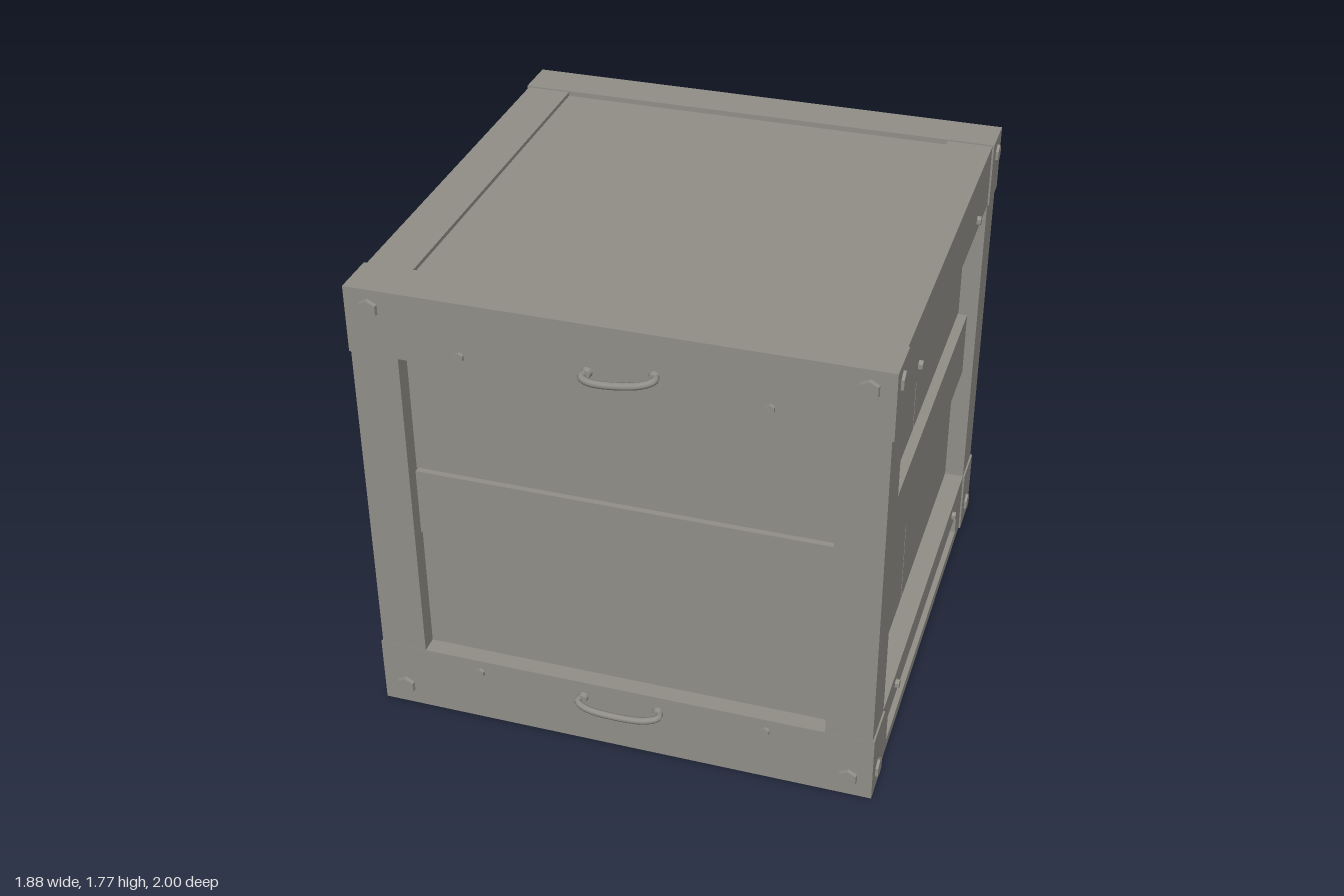
import * as THREE from 'three';

const grey = new THREE.MeshStandardMaterial({ color: 0x918f88 });
grey.name = 'worn grey';

function add(parent, name, geometry, x = 0, y = 0, z = 0) {
  const mesh = new THREE.Mesh(geometry, grey);
  mesh.name = name;
  mesh.position.set(x, y, z);
  parent.add(mesh);
  return mesh;
}

// Box given by its minimum and maximum corners
function slab(parent, name, [x0, y0, z0], [x1, y1, z1]) {
  return add(parent, name, new THREE.BoxGeometry(x1 - x0, y1 - y0, z1 - z0),
    (x0 + x1) / 2, (y0 + y1) / 2, (z0 + z1) / 2);
}

// Hexagonal bolt head facing +z
function bolt(parent, name, x, y, z, r, h) {
  const geo = new THREE.CylinderGeometry(r * 0.88, r, h + 0.01, 6).toNonIndexed();
  geo.computeVertexNormals();
  geo.rotateX(Math.PI / 2);
  add(parent, name, geo, x, y, z + h / 2 - 0.005);
}

// Bent bar handle with a collar at each end
function handle(parent, x0, y0, x1, y1, z) {
  const at = (t, dz, dy = 0) => new THREE.Vector3(
    x0 + (x1 - x0) * t, y0 + (y1 - y0) * t + dy, z + dz);
  const path = new THREE.CatmullRomCurve3([
    at(0.06, -0.01), at(0.02, 0.03), at(0.15, 0.055, -0.004), at(0.5, 0.063, -0.008),
    at(0.85, 0.055, -0.004), at(0.98, 0.03), at(0.94, -0.01)]);
  add(parent, 'handle', new THREE.TubeGeometry(path, 28, 0.013, 8));
  for (const t of [0.06, 0.94]) {
    const collar = new THREE.CylinderGeometry(0.016, 0.021, 0.024, 10);
    collar.rotateX(Math.PI / 2);
    const p = at(t, 0.006);
    add(parent, 'handleCollar', collar, p.x, p.y, p.z);
  }
}

// Recessed boards; surface is the depth of the wall face along +z
function boards(parent, surface, depth, raise, split) {
  const rows = [[0.255, 0.761], [0.769, 1.031], [1.039, 1.53]];
  rows.forEach(([y0, y1], i) => {
    const z = surface - depth + (i === 1 ? raise : 0);
    const spans = split !== null && i !== 1
      ? [[-0.77, split - 0.004], [split + 0.004, 0.77]] : [[-0.77, 0.77]];
    for (const [x0, x1] of spans) slab(parent, 'board', [x0, y0, 0.8], [x1, y1, z]);
  });
}

function bolts(parent, surface) {
  for (const sx of [-1, 1]) {
    bolt(parent, 'cornerBolt', sx * 0.845, 1.7, surface, 0.039, 0.014);
    bolt(parent, 'cornerBolt', sx * 0.845, 0.08, surface, 0.039, 0.014);
    bolt(parent, 'smallBolt', sx * 0.53, 1.57, surface, 0.019, 0.012);
    bolt(parent, 'smallBolt', sx * 0.54, 0.215, surface, 0.019, 0.012);
  }
}

export function createModel() {
  const crate = new THREE.Group();
  crate.name = 'crate';

  // Closed core: its top is the sunken lid, its underside the raised floor
  slab(crate, 'core', [-0.83, 0.155, -0.83], [0.83, 1.75, 0.83]);

  // Corner posts
  for (const sx of [-1, 1]) for (const sz of [-1, 1]) {
    add(crate, 'cornerPost', new THREE.BoxGeometry(0.17, 1.765, 0.17), sx * 0.84, 0.8825, sz * 0.84);
  }

  // Front and back walls
  for (const turn of [0, Math.PI]) {
    const wall = new THREE.Group();
    wall.name = turn ? 'backWall' : 'frontWall';
    wall.rotation.y = turn;
    slab(wall, 'topRail', [-0.932, 1.52, 0.757], [0.932, 1.77, 0.926]);
    slab(wall, 'bottomRail', [-0.932, 0, 0.757], [0.932, 0.265, 0.926]);
    boards(wall, 0.926, 0.065, 0.012, null);
    bolts(wall, 0.926);
    if (turn) handle(wall, -0.16, 1.6, 0.16, 1.6, 0.926);
    else handle(wall, -0.1, 1.59, 0.16, 1.62, 0.926);
    handle(wall, -0.16, 0.2, 0.16, 0.2, 0.926);
    crate.add(wall);
  }

  // Side walls, each with a long slot through the bottom rail
  for (const s of [1, -1]) {
    const wall = new THREE.Group();
    wall.name = s > 0 ? 'leftWall' : 'rightWall';
    wall.rotation.y = s * Math.PI / 2;
    slab(wall, 'topRail', [-0.76, 1.52, 0.757], [0.76, 1.765, 0.925]);
    const rail = new THREE.Shape([[-0.76, 0], [0.76, 0], [0.76, 0.265], [-0.76, 0.265]]
      .map(p => new THREE.Vector2(...p)));
    rail.holes.push(new THREE.Path([[-0.66, 0.045], [-0.66, 0.155], [0.66, 0.155], [0.66, 0.045]]
      .map(p => new THREE.Vector2(...p))));
    add(wall, 'slottedRail',
      new THREE.ExtrudeGeometry(rail, { depth: 0.168, bevelEnabled: false }), 0, 0, 0.757);
    boards(wall, 0.925, 0.075, 0.035, -s * 0.115);
    bolts(wall, 0.928);
    crate.add(wall);
  }
  return crate;
}
